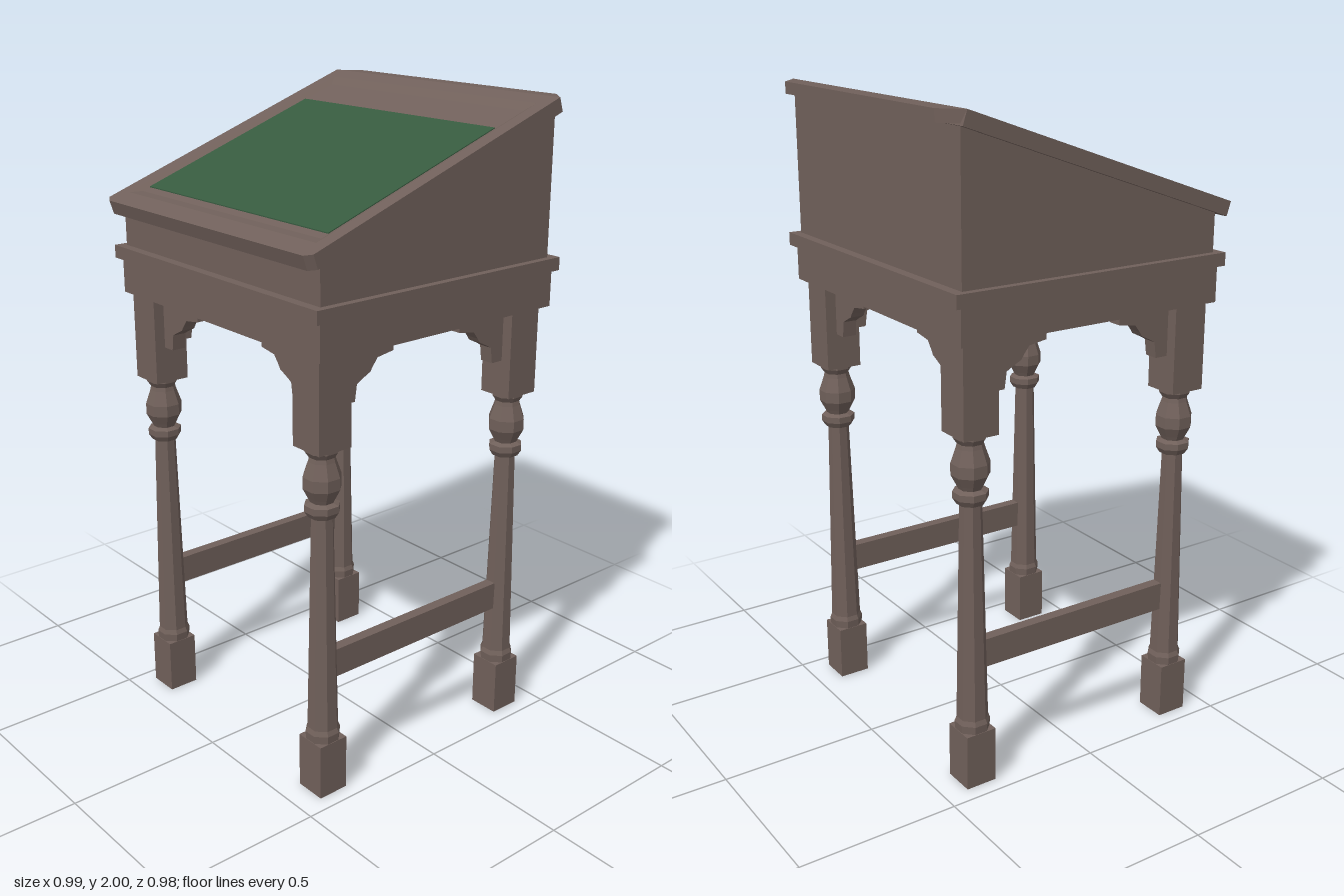
import * as THREE from 'three';

const wood = new THREE.MeshStandardMaterial({ color: 0x70605a, flatShading: true });
const green = new THREE.MeshStandardMaterial({ color: 0x375a3f, flatShading: true });

const shapeOf = (pts) => new THREE.Shape(pts.map(([x, y]) => new THREE.Vector2(x, y)));

// Height of the sloping lid surface at depth z
const lidTop = (z) => 1.675 + 0.353 * (0.49 - z);

function add(parent, name, geometry, material = wood) {
  const mesh = new THREE.Mesh(geometry, material);
  mesh.name = name;
  parent.add(mesh);
  return mesh;
}

// Box given by its width, depth and bottom/top heights
function slab(parent, name, w, d, y0, y1, x = 0, z = 0) {
  const mesh = add(parent, name, new THREE.BoxGeometry(w, y1 - y0, d));
  mesh.position.set(x, (y0 + y1) / 2, z);
  return mesh;
}

// Plan outline (x, z) extruded downwards from y = 0
function planExtrude(shape, depth) {
  return new THREE.ExtrudeGeometry(shape, { depth, bevelEnabled: false }).rotateX(Math.PI / 2);
}

function rectangle(hx, z0, z1) {
  return [[-hx, z0], [hx, z0], [hx, z1], [-hx, z1]];
}

function buildLid() {
  const lid = new THREE.Group();
  lid.name = 'lid';
  const rim = rectangle(0.45, -0.385, 0.43);
  const floor = rectangle(0.43, -0.355, 0.395);

  // Sloping frame, front corners clipped, lower edge raked back
  const outline = shapeOf([[-0.495, -0.433], [0.495, -0.433], [0.495, 0.475],
    [0.47, 0.49], [-0.47, 0.49], [-0.495, 0.475]]);
  outline.holes.push(new THREE.Path(rim.map(([x, z]) => new THREE.Vector2(x, z))));
  const frame = planExtrude(outline, 0.042);
  const p = frame.attributes.position;
  for (let i = 0; i < p.count; i++) {
    const y = p.getY(i), z = p.getZ(i);
    p.setY(i, lidTop(z) + y);
    if (y < -0.01) p.setZ(i, z - 0.014);
  }
  frame.computeVertexNormals();
  add(lid, 'lidFrame', frame);

  // Flat strip along the back with clipped corners
  const lip = planExtrude(shapeOf([[-0.495, -0.433], [-0.43, -0.49], [0.43, -0.49], [0.495, -0.433]]), 0.036);
  add(lid, 'lidBackEdge', lip.translate(0, 2, 0));

  // Shallow recess: four bevelled walls and a floor
  const verts = [
    ...rim.flatMap(([x, z]) => [x, lidTop(z), z]),
    ...floor.flatMap(([x, z]) => [x, lidTop(z) - 0.01, z]),
  ];
  const index = [4, 7, 6, 4, 6, 5];
  for (let i = 0; i < 4; i++) {
    const j = (i + 1) % 4;
    index.push(i, i + 4, j + 4, i, j + 4, j);
  }
  const recess = new THREE.BufferGeometry();
  recess.setAttribute('position', new THREE.Float32BufferAttribute(verts, 3));
  recess.setIndex(index);
  const flatRecess = recess.toNonIndexed();
  flatRecess.computeVertexNormals();
  add(lid, 'lidRecess', flatRecess);

  // Green writing surface lying in the recess
  const pad = planExtrude(shapeOf(rectangle(0.427, -0.24, 0.37)), 0.003);
  const q = pad.attributes.position;
  for (let i = 0; i < q.count; i++) q.setY(i, lidTop(q.getZ(i)) - 0.007 + q.getY(i));
  pad.computeVertexNormals();
  add(lid, 'writingSurface', pad, green);
  return lid;
}

function buildDeskBox() {
  const box = new THREE.Group();
  box.name = 'deskBox';
  // Wedge-shaped case, side profile as (z, y)
  const side = shapeOf([[-0.44, 1.52], [0.435, 1.52], [0.435, lidTop(0.435) - 0.035], [-0.44, 1.97]]);
  const body = new THREE.ExtrudeGeometry(side, { depth: 0.945, bevelEnabled: false });
  add(box, 'slopedCase', body.rotateY(-Math.PI / 2).translate(0.4725, 0, 0));
  slab(box, 'moulding', 0.99, 0.935, 1.49, 1.53, 0, -0.003);
  slab(box, 'apron', 0.966, 0.895, 1.38, 1.49, 0, -0.003);
  return box;
}

// Turned leg profile: radius, height
const turning = [[0.05, 0.17], [0.052, 0.2], [0.046, 0.215], [0.032, 0.895], [0.04, 0.897],
  [0.051, 0.915], [0.051, 0.935], [0.034, 0.942], [0.04, 0.955], [0.055, 0.985], [0.055, 1.02],
  [0.04, 1.065], [0.037, 1.078], [0.048, 1.095], [0.048, 1.11]];
const legGeometry = new THREE.LatheGeometry(
  turning.map(([r, y]) => new THREE.Vector2(r * 1.04, y)), 8, Math.PI / 8);

// Stepped corner bracket, running outwards from the block along +x
const bracketGeometry = new THREE.ExtrudeGeometry(shapeOf([[0, 1.22], [0.1, 1.22], [0.107, 1.27],
  [0.122, 1.279], [0.156, 1.296], [0.165, 1.31], [0.183, 1.333], [0.242, 1.342], [0.242, 1.385], [0, 1.385]]),
{ depth: 0.045, bevelEnabled: false }).translate(0, 0, -0.0225);

function buildLeg(sx, sz) {
  const leg = new THREE.Group();
  leg.name = (sz > 0 ? 'front' : 'back') + (sx > 0 ? 'Left' : 'Right') + 'Leg';
  slab(leg, 'foot', 0.1, 0.1, 0, 0.175);
  add(leg, 'turnedShaft', legGeometry);
  slab(leg, 'upperBlock', 0.115, 0.115, 1.105, 1.385);
  add(leg, 'frontBracket', bracketGeometry).rotation.y = sx > 0 ? Math.PI : 0;
  add(leg, 'sideBracket', bracketGeometry).rotation.y = sz * Math.PI / 2;
  leg.position.set(sx * 0.401, 0, sz * 0.372);
  return leg;
}

export function createModel() {
  const model = new THREE.Group();
  model.name = 'writingDesk';
  model.add(buildLid(), buildDeskBox());
  for (const sx of [-1, 1]) {
    for (const sz of [-1, 1]) model.add(buildLeg(sx, sz));
    // Rail joining the front and back legs
    slab(model, sx > 0 ? 'leftStretcher' : 'rightStretcher', 0.035, 0.68, 0.37, 0.46, sx * 0.401, 0);
  }
  return model;
}
